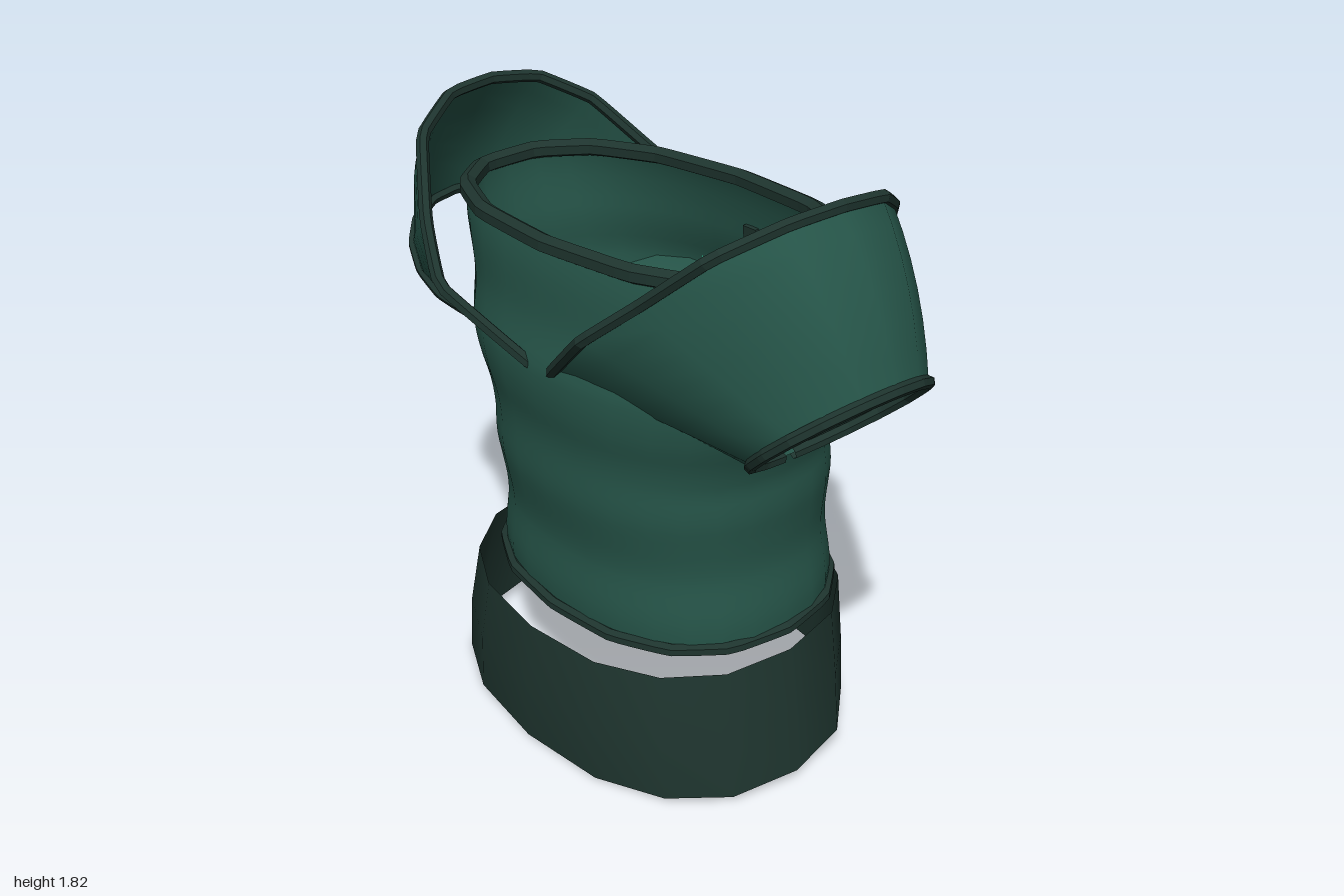
import * as THREE from 'three';

const mat = (color, flatShading = false) =>
  new THREE.MeshStandardMaterial({ color, flatShading, side: THREE.DoubleSide });
const V = (x, y, z) => new THREE.Vector3(x, y, z);

// skin through closed rings that share one point count
function loft(rings) {
  const n = rings[0].length, pos = [], idx = [];
  rings.forEach(r => r.forEach(p => pos.push(p.x, p.y, p.z)));
  for (let j = 0; j < rings.length - 1; j++) {
    for (let i = 0; i < n; i++) {
      const a = j * n + i, b = j * n + (i + 1) % n;
      idx.push(a, b, a + n, b, b + n, a + n);
    }
  }
  const g = new THREE.BufferGeometry();
  g.setAttribute('position', new THREE.Float32BufferAttribute(pos, 3));
  g.setIndex(idx);
  g.computeVertexNormals();
  return g;
}

// slightly squared oval ring, lower at the front than at the back
function oval(y, halfX, front, back, tilt, n, yaw = 0) {
  const c = (front + back) / 2, r = (front - back) / 2;
  const full = v => Math.sign(v) * Math.pow(Math.abs(v), 0.87);
  return Array.from({ length: n }, (_, i) => {
    const a = i / n * Math.PI * 2;
    const x = halfX * full(Math.sin(a)), z = c + r * full(Math.cos(a)) - yaw * x;
    return V(x, y - tilt * z, z);
  });
}

// piping that follows a polyline
function piping(points, radius, closed = true) {
  const curve = new THREE.CatmullRomCurve3(points, closed, 'catmullrom', 0.1);
  return new THREE.TubeGeometry(curve, points.length * 5, radius, 6, closed);
}

// shoulder opening: distance up from the point where it enters the bodice, and z
const SHOULDER = [
  [0.935, 0.04], [0.91, 0.2], [0.79, 0.36], [0.52, 0.455], [0.31, 0.52], [0.01, 0.425],
  [-0.1, 0.34], [-0.17, 0.2], [-0.225, 0.03], [-0.23, -0.13], [-0.17, -0.3], [-0.02, -0.43],
  [0.27, -0.525], [0.57, -0.39], [0.79, -0.26], [0.91, -0.12],
];

export function createModel() {
  const group = new THREE.Group();
  const cloth = mat(0x265549), dark = mat(0x1e342e), trim = mat(0x1e342e, true), accent = mat(0x38cc9e, true);
  const add = (name, geometry, material, parent = group) => {
    const m = new THREE.Mesh(geometry, material);
    m.name = name;
    parent.add(m);
    return m;
  };

  // bodice with soft horizontal folds: y, half width, front z, back z, yaw
  const profile = [
    [0.455, 0.55, 0.385, -0.44, 0], [0.65, 0.54, 0.39, -0.435, 0], [0.8, 0.537, 0.4, -0.43, 0],
    [0.95, 0.547, 0.415, -0.42, 0], [1.1, 0.59, 0.43, -0.42, 0], [1.25, 0.62, 0.435, -0.41, 0.01],
    [1.42, 0.64, 0.41, -0.37, 0.025], [1.59, 0.65, 0.38, -0.315, 0.04],
  ];
  const rings = [];
  const STEPS = 35;
  for (let k = 0; k <= STEPS; k++) {
    const f = k / STEPS * (profile.length - 1), i = Math.min(Math.floor(f), profile.length - 2);
    const [y, w, fr, bk, yaw] = profile[i].map((v, q) => THREE.MathUtils.lerp(v, profile[i + 1][q], f - i));
    const fold = 0.007 * Math.cos((y - 0.85) * Math.PI * 2 / 0.34);
    rings.push(oval(y, w + fold, fr + fold, bk - fold, 0.05, 28, yaw));
  }
  add('bodice', loft(rings), cloth);
  add('neckTrim', piping(oval(1.587, 0.652, 0.385, -0.315, 0.05, 14, 0.04), 0.028), trim);
  add('hemTrim', piping(oval(0.452, 0.555, 0.395, -0.45, 0.055, 16), 0.02), trim);

  // loose open waistband
  add('waistband', loft([
    oval(0.043, 0.68, 0.51, -0.455, 0.085, 16),
    oval(0.23, 0.655, 0.51, -0.46, 0.085, 16),
    oval(0.43, 0.615, 0.485, -0.46, 0.085, 16),
  ]), dark);
  const buckle = add('buckle', new THREE.BoxGeometry(0.18, 0.145, 0.05), trim);
  buckle.position.set(0, 0.365, -0.498);
  buckle.rotation.x = 0.07;

  // flared cap sleeves, wide at the shoulder, round at the arm, crossing inside the bodice
  const sleeve = (name, side, tip, shift) => {
    const g = new THREE.Group();
    g.name = name;
    group.add(g);
    const reach = V(0.76 * side, 1.81, 0).sub(tip).divideScalar(0.95);
    const big = SHOULDER.map(([u, z]) =>
      tip.clone().addScaledVector(reach, u).setZ(z + (u > 0.2 && u < 0.7 ? shift : 0)));
    const n = big.length;
    const small = big.map((_, i) => {
      const a = i / n * Math.PI * 2, c = 0.245 * Math.cos(a);
      return V(side * (0.79 + 0.745 * c), 1.23 + 0.667 * c, 0.05 + 0.255 * Math.sin(a));
    });
    const bigC = V(0.36 * side, 1.5, 0), smallC = V(0.79 * side, 1.23, 0.05);
    const skin = [];
    for (let k = 0; k <= 6; k++) {
      const t = k / 6, centre = bigC.clone().lerp(smallC, t);
      skin.push(big.map((p, i) => {
        const q = p.clone().lerp(small[i], t);
        const out = q.clone().sub(centre).normalize();
        // fuller over the top, hollow underneath
        const full = 0.005 + 0.02 * Math.cos(i / n * Math.PI * 2);
        return q.addScaledVector(out, full * 4 * t * (1 - t));
      }));
    }
    add('sleeveCloth', loft(skin), cloth, g);
    add('shoulderTrim', piping(big, 0.019), trim, g);
    // arm piping stops just short of closing underneath
    const half = n / 2, low = small[half];
    const loop = [low.clone().setZ(low.z - 0.02)];
    for (let i = 1; i < n; i++) loop.push(small[(half + i) % n]);
    loop.push(low.clone().setZ(low.z + 0.02));
    add('armTrim', piping(loop, 0.018, false), trim, g);
  };
  sleeve('rightSleeve', -1, V(-0.03, 1.21, 0), 0.035);
  sleeve('leftSleeve', 1, V(0.06, 1.22, 0), -0.035);

  // back placket
  const placket = add('backPlacket', new THREE.BoxGeometry(0.055, 0.82, 0.06), trim);
  placket.position.set(0, 1.035, -0.418);
  placket.rotation.x = 0.09;

  // zigzag ribbons either side of the placket
  for (const side of [-1, 1]) {
    const pts = [];
    for (let i = 0; i <= 5; i++) {
      const y = 0.64 + i * 0.156;
      const z = -0.415 + Math.max(0, y - 1.2) * 0.16;
      pts.push(V(side * 0.235 + (i % 2 ? 0.02 : -0.015), y, z));
    }
    add(side < 0 ? 'rightRibbon' : 'leftRibbon', piping(pts, 0.02, false), accent);
  }
  return group;
}
